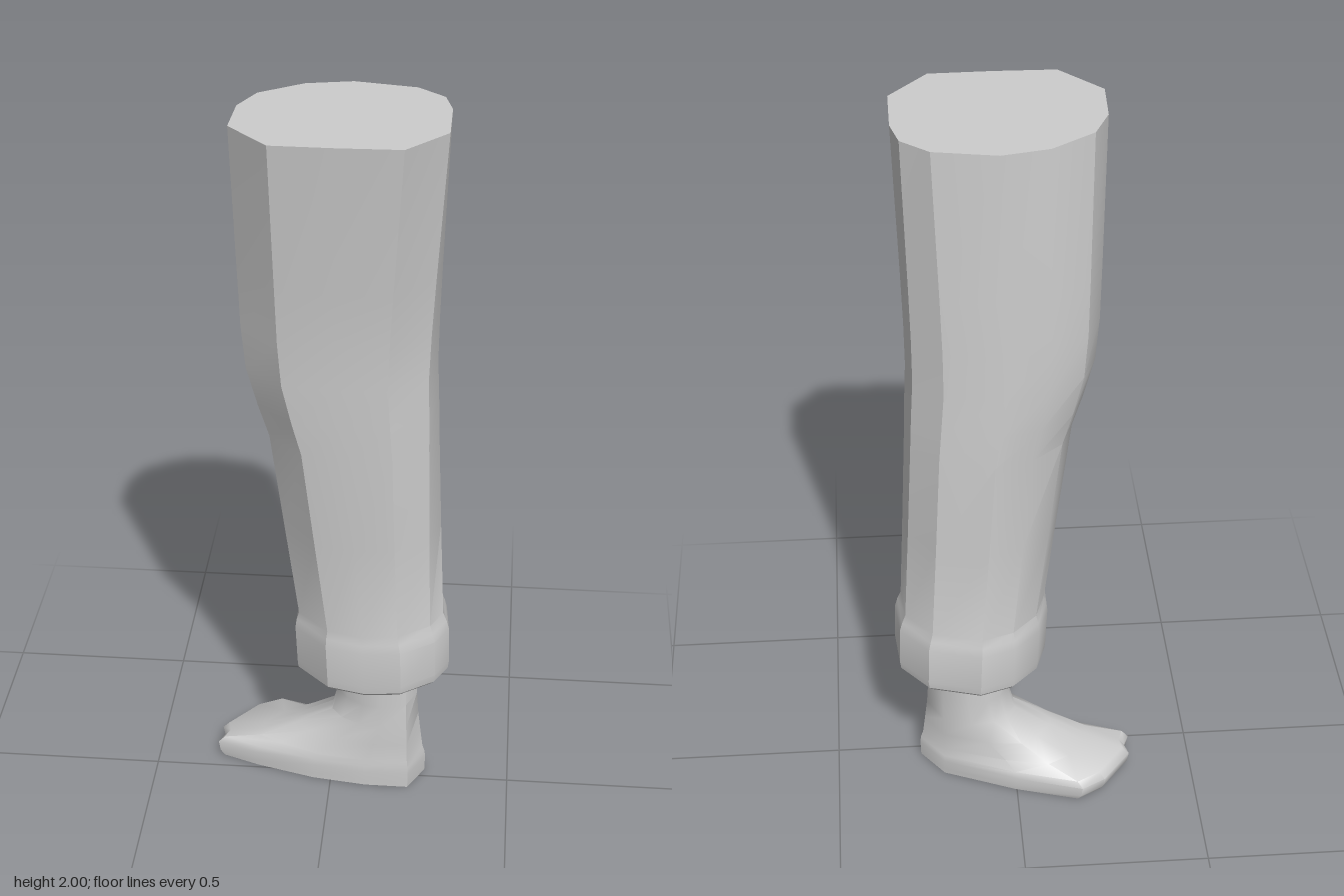
import * as THREE from 'three';
import { toCreasedNormals } from 'three/addons/utils/BufferGeometryUtils.js';

const { lerp, clamp } = THREE.MathUtils;

// Skin a stack of closed rings (counter-clockwise from above, lowest first) and cap both ends.
function loft(rings, crease) {
  const n = rings[0].length, pos = [], idx = [];
  rings.forEach(r => r.forEach(p => pos.push(...p)));
  for (let j = 0; j < rings.length - 1; j++) {
    for (let i = 0; i < n; i++) {
      const a = j * n + i, b = j * n + (i + 1) % n;
      idx.push(a, b, b + n, a, b + n, a + n);
    }
  }
  [0, rings.length - 1].forEach(j => {
    const c = pos.length / 3;
    pos.push(...[0, 1, 2].map(k => rings[j].reduce((s, p) => s + p[k], 0) / n));
    for (let i = 0; i < n; i++) {
      const a = j * n + i, b = j * n + (i + 1) % n;
      if (j === 0) idx.push(c, b, a); else idx.push(c, a, b);
    }
  });
  const g = new THREE.BufferGeometry();
  g.setAttribute('position', new THREE.Float32BufferAttribute(pos, 3));
  g.setIndex(idx);
  return toCreasedNormals(g, crease);
}

// Blend two outlines of [x, z] points.
const mix = (a, b, t) => a.map(([x, z], i) => [lerp(x, b[i][0], t), lerp(z, b[i][1], t)]);

// Rescale an outline to the range -1..1 in both directions.
function unit(points) {
  const axis = k => {
    const v = points.map(p => p[k]), lo = Math.min(...v), hi = Math.max(...v);
    return v.map(c => (2 * c - lo - hi) / (hi - lo));
  };
  const zs = axis(1);
  return axis(0).map((x, i) => [x, zs[i]]);
}

// Trouser outlines at the thigh and at the hem
const thigh = unit([[-.235, .135], [-.13, .25], [.03, .253], [.19, .25], [.29, .135], [.29, -.02],
  [.27, -.1], [.2, -.16], [.04, -.19], [-.08, -.165], [-.19, -.09], [-.23, 0]]);
const hem = unit([[-.09, .04], [0, .13], [.1, .155], [.2, .145], [.29, .08], [.325, .01],
  [.315, -.1], [.24, -.19], [.1, -.23], [.01, -.2], [-.06, -.13], [-.09, -.04]]);

// Trouser ring at height y within the given limits
function trouserRing([y, x0, x1, z0, z1]) {
  return mix(hem, thigh, clamp((y - 0.55) / 1.45, 0, 1))
    .map(([u, w]) => [lerp(x0, x1, (u + 1) / 2), y, lerp(z0, z1, (w + 1) / 2)]);
}

// [y, xMin, xMax, zMin, zMax], from inside the hem, round the cuff and up the leg
const trouserLevels = [
  [.55, -.05, .28, -.18, .11],
  [.42, -.055, .29, -.195, .12],
  [.388, -.065, .3, -.205, .13],
  [.378, -.078, .312, -.217, .143],
  [.388, -.088, .322, -.225, .152],
  [.41, -.09, .325, -.228, .155],
  [.52, -.095, .322, -.227, .157],
  [.545, -.092, .315, -.222, .154],
  [.57, -.085, .305, -.215, .15],
  [.85, -.12, .292, -.211, .165],
  [1.13, -.155, .28, -.208, .176],
  [1.22, -.183, .277, -.207, .18],
  [1.33, -.212, .272, -.205, .183],
  [1.45, -.222, .273, -.203, .188],
  [1.6, -.226, .277, -.2, .203],
  [2, -.235, .29, -.19, .253],
];

// Foot outlines, each running heel, inner side, toes, outer side
const footprint = [[.265, -.03], [.22, .055], [.1, .055], [-.05, .035], [-.22, -.01], [-.33, -.05],
  [-.315, -.085], [-.325, -.12], [-.245, -.22], [-.18, -.255], [0, -.2], [.2, -.115]];
const instep = [[.257, -.03], [.217, .052], [.1, .051], [-.04, .03], [-.15, -.01], [-.21, -.04],
  [-.205, -.07], [-.2, -.1], [-.15, -.16], [-.09, -.19], [.03, -.165], [.2, -.108]];
const joint = [[.243, -.03], [.213, .045], [.14, .053], [.08, .036], [.03, .01], [0, -.03],
  [-.002, -.05], [0, -.07], [.025, -.105], [.06, -.13], [.12, -.138], [.2, -.106]];
const ankle = [[.238, -.03], [.21, .035], [.14, .054], [.09, .042], [.045, .012], [.018, -.025],
  [.015, -.048], [.018, -.07], [.04, -.1], [.075, -.125], [.13, -.132], [.2, -.1]];

// Foot ring: an outline laid at height y, turned counter-clockwise
const footRing = (y, outline) => outline.map(([x, z]) => [x, y, z]).reverse();

export function createModel() {
  const model = new THREE.Group();
  model.name = 'trouserLeg';
  const grey = new THREE.MeshStandardMaterial({ color: 0xcccccc });
  grey.name = 'plain grey';

  const add = (name, rings, crease) => {
    const mesh = new THREE.Mesh(loft(rings, crease), grey);
    mesh.name = name;
    model.add(mesh);
  };

  // Trouser leg with a turned-up cuff
  add('trousers', trouserLevels.map(trouserRing), 0.5);

  // Bare foot and ankle rising into the cuff
  add('foot', [
    footRing(0, mix(footprint, instep, 0.14)),
    footRing(.016, mix(footprint, instep, 0.04)),
    footRing(.045, footprint),
    footRing(.065, mix(footprint, instep, 0.15)),
    footRing(.085, instep),
    footRing(.14, mix(instep, joint, 0.5)),
    footRing(.2, joint),
    footRing(.27, ankle),
    footRing(.58, ankle),
  ], 0.9);

  return model;
}
